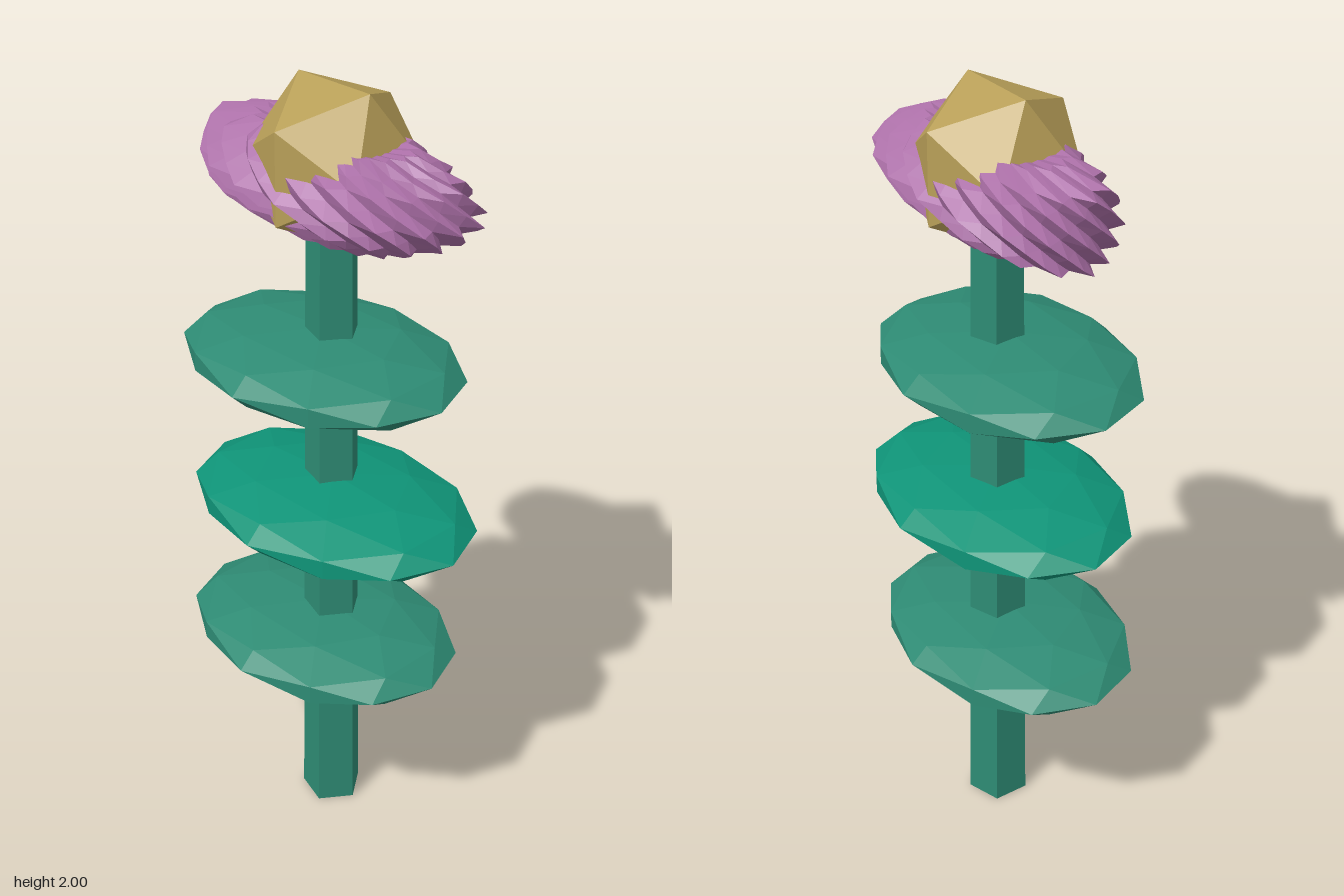
import * as THREE from 'three';

const mat = (color) => new THREE.MeshStandardMaterial({ color, flatShading: true });

function part(name, geometry, material, x, y, z) {
  const mesh = new THREE.Mesh(geometry, material);
  mesh.name = name;
  mesh.position.set(x, y, z);
  return mesh;
}

// Flattened, spiky oval: alternate vertices of a lathe are pulled inwards
function blossomGeometry() {
  const profile = [
    [0, -0.09], [0.55, -0.113], [0.7, -0.085], [0.85, -0.06], [0.93, -0.03], [1, 0],
    [0.93, 0.03], [0.85, 0.06], [0.7, 0.085], [0.55, 0.113], [0, 0.08],
  ].map(([r, y]) => new THREE.Vector2(r, y));
  const segments = 36;
  const geometry = new THREE.LatheGeometry(profile, segments);
  const pos = geometry.attributes.position;
  for (let i = 0; i <= segments; i++) {
    const angle = (i / segments) * Math.PI * 2;
    const sx = Math.sin(angle), sz = Math.cos(angle);
    const blunt = Math.max(0, -sx) ** 2; // the -x end is blunter than the +x end
    for (let j = 0; j < profile.length; j++) {
      const { x: k, y } = profile[j];
      const spike = (i + j) % 2 ? 1 : 0.88;
      const r = k === 0 ? 0 : spike * k ** (1 - blunt * (k > 0.6 ? 0.8 : 0.2));
      pos.setXYZ(i * profile.length + j, sx * r * 0.415, y, sz * r * 0.2);
    }
  }
  geometry.computeVertexNormals();
  return geometry;
}

export function createModel() {
  const group = new THREE.Group();
  group.name = 'flower';
  const green = mat(0x2e8b74);
  const brightGreen = mat(0x0f9478);

  // Five-sided tapering stem with a corner towards +x
  const stem = new THREE.CylinderGeometry(0.063, 0.079, 1.72, 5);
  stem.rotateY(Math.PI / 2);
  group.add(part('stem', stem, green, -0.015, 0.86, -0.015));

  // Three flattened leaf discs
  [
    [0.535, -0.035, 0.386, green],
    [0.93, 0.002, 0.403, brightGreen],
    [1.32, -0.035, 0.386, green],
  ].forEach(([y, x, halfWidth, material], i) => {
    const leaf = new THREE.IcosahedronGeometry(1, 1);
    leaf.scale(halfWidth, 0.079, 0.289);
    group.add(part('leaf' + (i + 1), leaf, material, x, y, 0));
  });

  // Blossom and its faceted centre
  group.add(part('petals', blossomGeometry(), mat(0xac70a8), 0, 1.775, -0.018));
  group.add(part('flowerCentre', new THREE.IcosahedronGeometry(0.212, 0), mat(0xb89f58), -0.015, 1.82, -0.018));

  return group;
}
